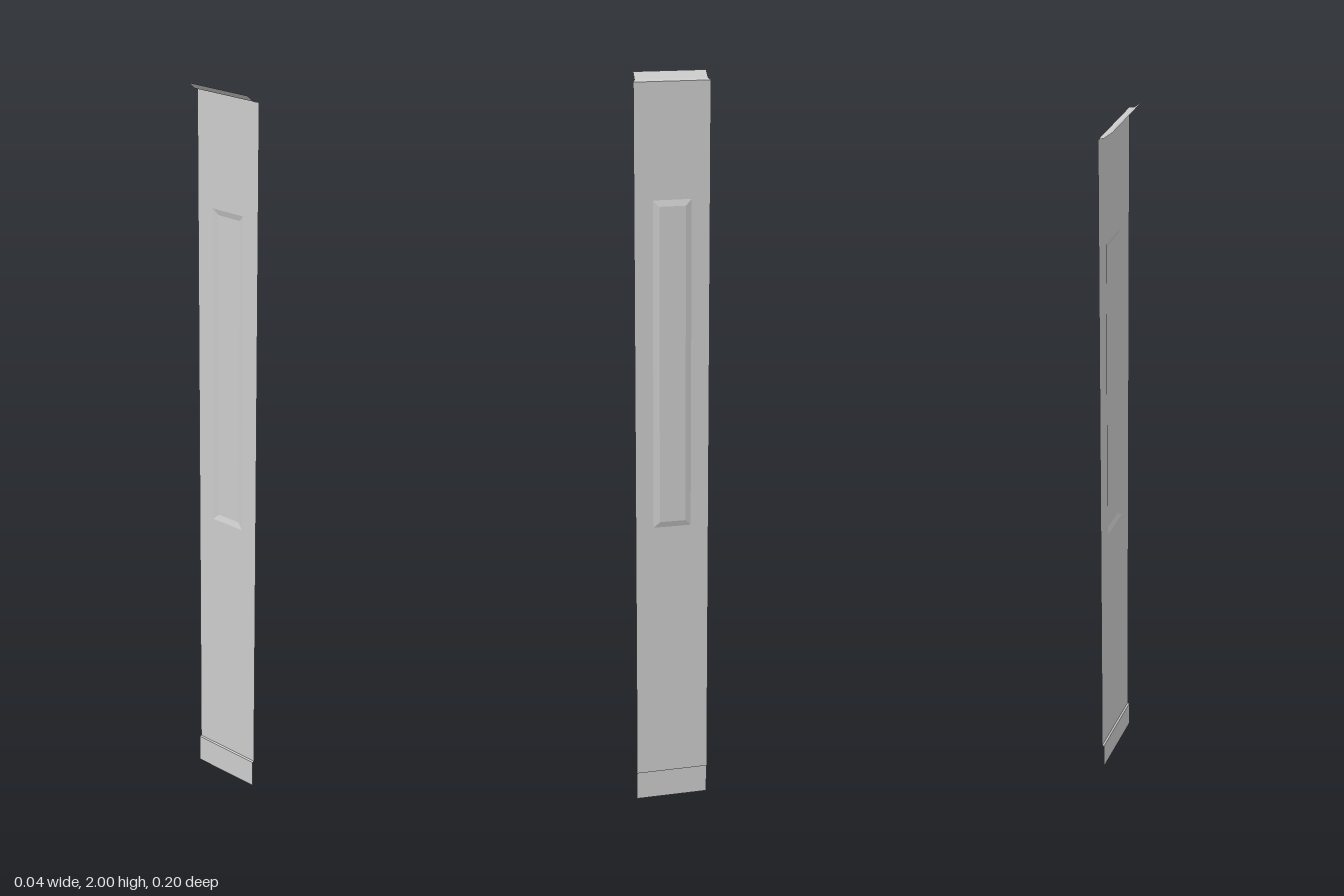
import * as THREE from 'three';

const material = new THREE.MeshStandardMaterial({
  color: 0xcccccc, flatShading: true, side: THREE.DoubleSide,
});

// The whole sheet is turned very slightly about its vertical axis
const SKEW = 0.02;

// Mesh from four-cornered faces, each corner given as [x, y, z]
function sheet(name, quads) {
  const positions = [];
  for (const [a, b, c, d] of quads) {
    for (const [x, y, z] of [a, b, c, a, c, d]) positions.push(x + SKEW * z, y, z);
  }
  const geometry = new THREE.BufferGeometry();
  geometry.setAttribute('position', new THREE.Float32BufferAttribute(positions, 3));
  geometry.computeVertexNormals();
  const mesh = new THREE.Mesh(geometry, material);
  mesh.name = name;
  return mesh;
}

// Rectangle of corners in the plane of the panel, seen from +x
const rectangle = (x, halfWidth, bottom, top) => [
  [x, bottom, halfWidth], [x, bottom, -halfWidth],
  [x, top, -halfWidth], [x, top, halfWidth],
];

// Band of four faces between an outer and an inner rectangle
const band = (outer, inner) => outer.map((corner, i) => {
  const j = (i + 1) % 4;
  return [corner, outer[j], inner[j], inner[i]];
});

// Bent strip through a profile of [x, y, back z, front z], from bottom to top
const strip = (profile) => profile.slice(1).map(([x, y, back, front], i) => {
  const [x0, y0, back0, front0] = profile[i];
  return [[x0, y0, front0], [x0, y0, back0], [x, y, back], [x, y, front]];
});

export function createModel() {
  const group = new THREE.Group();
  group.name = 'pressedPanel';

  const edge = rectangle(0.015, 0.1, 0.08, 1.978);
  const embossBase = rectangle(0.015, 0.051, 0.8, 1.68);
  const embossFace = rectangle(0.02, 0.035, 0.816, 1.664);

  // Flat panel with the raised field pressed out of it
  group.add(sheet('mainPanel', band(edge, embossBase)));
  group.add(sheet('raisedField', [...band(embossBase, embossFace), embossFace]));

  // Set-back foot under the panel
  group.add(sheet('foot', strip([
    [0.01, 0, -0.1, 0.1], [0.01, 0.078, -0.1, 0.1], [0.015, 0.08, -0.1, 0.1],
  ])));

  // Folded lip along the top
  group.add(sheet('topLip', strip([
    [0.015, 1.978, -0.1, 0.1], [0.001, 1.982, -0.096, 0.094], [-0.02, 2, -0.096, 0.093],
  ])));

  return group;
}
